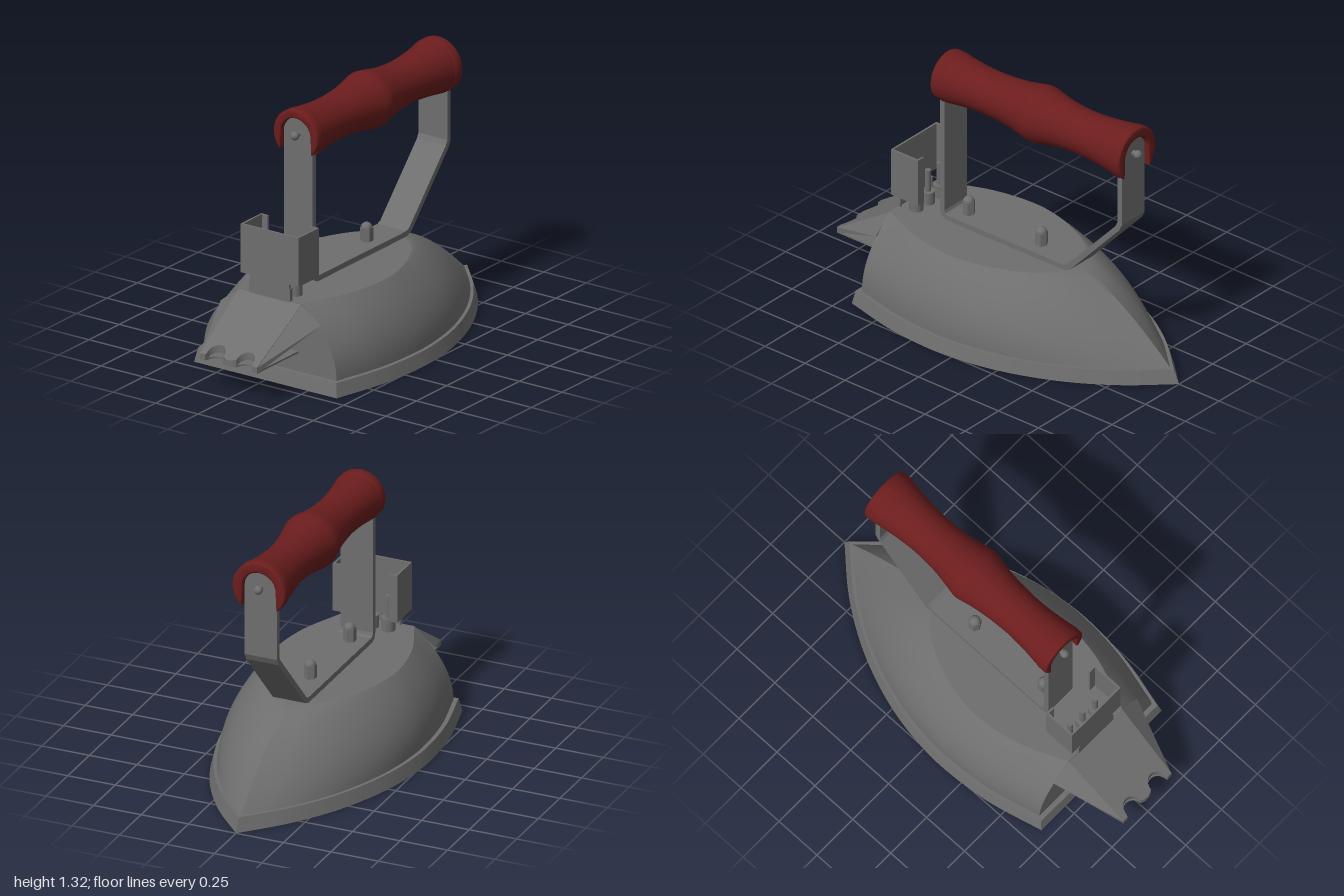
import * as THREE from 'three';
import { toCreasedNormals } from 'three/addons/utils/BufferGeometryUtils.js';
import { ConvexGeometry } from 'three/addons/geometries/ConvexGeometry.js';

const iron = new THREE.MeshStandardMaterial({ color: 0x6e6e6e, side: THREE.DoubleSide });
iron.name = 'grey iron';
const red = new THREE.MeshStandardMaterial({ color: 0x6c1d1d, side: THREE.DoubleSide });
red.name = 'dark red';

const lerp = THREE.MathUtils.lerp;
const vec2 = (pts) => pts.map(([a, b]) => new THREE.Vector2(a, b));

// Half outline [x, z] from tip to back, resampled smoothly
function halfOutline(pts) {
  return new THREE.CatmullRomCurve3(pts.map(([x, z]) => new THREE.Vector3(x, 0, z))).getPoints(48);
}
// Full ring: back right, round the tip, back left
function mirrorRing(half) {
  const left = half.slice(1).map((p) => new THREE.Vector3(-p.x, p.y, p.z));
  return [...half.slice().reverse(), ...left];
}
// Skin between stacked rings
function loft(rings) {
  const n = rings[0].length, index = [];
  for (let i = 0; i < rings.length - 1; i++) {
    for (let j = 0; j < n - 1; j++) {
      const a = i * n + j, d = a + n;
      index.push(a, a + 1, d + 1, a, d + 1, d);
    }
  }
  const g = new THREE.BufferGeometry().setFromPoints(rings.flat());
  g.setIndex(index);
  return toCreasedNormals(g, 0.6);
}
// Horizontal cap over a ring
function cap(ring, y, up = true) {
  const s = new THREE.Shape(ring.map((p) => new THREE.Vector2(p.x, up ? -p.z : p.z)));
  return new THREE.ShapeGeometry(s).rotateX(up ? -Math.PI / 2 : Math.PI / 2).translate(0, y, 0);
}
// Strip of constant thickness along a [z, y] path, extruded across x
function strip(path, thick, width) {
  const p = vec2(path), a = [], b = [];
  p.forEach((q, i) => {
    const d0 = q.clone().sub(p[Math.max(i - 1, 0)]).normalize();
    const d1 = p[Math.min(i + 1, p.length - 1)].clone().sub(q).normalize();
    const t = d0.clone().add(d1).normalize();
    const k = thick / 2 / Math.max(t.dot(i ? d0 : d1), 0.5);
    a.push(new THREE.Vector2(q.x - t.y * k, q.y + t.x * k));
    b.push(new THREE.Vector2(q.x + t.y * k, q.y - t.x * k));
  });
  const g = new THREE.ExtrudeGeometry(new THREE.Shape([...a, ...b.reverse()]), { depth: width, bevelEnabled: false });
  return g.rotateY(-Math.PI / 2).translate(width / 2, 0, 0);
}

export function createModel() {
  const model = new THREE.Group();
  const add = (name, geo, mat, x = 0, y = 0, z = 0) => {
    const m = new THREE.Mesh(geo, mat);
    m.name = name;
    m.position.set(x, y, z);
    model.add(m);
  };

  // Sole plate with slanted rim
  const sole = halfOutline([[0, -1], [0.182, -0.8], [0.316, -0.6], [0.41, -0.4], [0.473, -0.2],
    [0.506, 0], [0.512, 0.15], [0.49, 0.4], [0.42, 0.695]]);
  const remap = (kx, tip, back, y) => sole.map((p) =>
    new THREE.Vector3(p.x * kx, y, lerp(tip, back, (p.z + 1) / 1.695)));
  const low = mirrorRing(sole), high = mirrorRing(remap(0.968, -0.968, 0.68, 0.07));
  add('soleRim', loft([[...low, low[0]], [...high, high[0]]]), iron);
  add('soleBottom', cap(low, 0, false), iron);
  add('soleTop', cap(high, 0.07), iron);

  // Domed body: rounded flanks, gently sloping nose, rounded flat crown
  const foot = remap(0.93, -0.945, 0.655, 0.07);
  const crown = halfOutline([[0, -0.355], [0.09, -0.335], [0.16, -0.28], [0.217, -0.2], [0.263, -0.1],
    [0.297, 0], [0.32, 0.16], [0.288, 0.4], [0.185, 0.655]]);
  const halves = [];
  for (let i = 0; i <= 20; i++) {
    const h = 1 - (1 - i / 20) ** 1.6;
    const fx = h ** 2.1, fz = 1 - (1 - h) ** (1 / 1.55);
    halves.push(foot.map((p, j) => new THREE.Vector3(
      lerp(p.x, crown[j].x, fx), 0.07 + 0.35 * h, lerp(p.z, crown[j].z, fz))));
  }
  const rings = halves.map(mirrorRing);
  add('bodySides', loft(rings), iron);
  add('bodyTop', cap(rings[20], 0.42), iron);
  const edge = halves.map((r) => r[r.length - 1]);
  const wall = [...edge.map((p) => new THREE.Vector2(p.x, p.y)),
    ...edge.slice().reverse().map((p) => new THREE.Vector2(-p.x, p.y))];
  add('bodyFrontWall', new THREE.ShapeGeometry(new THREE.Shape(wall)), iron, 0, 0, 0.655);

  // Sloping spout and its thin floor, both with a scalloped lip
  function scalloped(rootWidth, top, bottom) {
    const s = new THREE.Shape();
    s.moveTo(-rootWidth, 0.65);
    s.lineTo(rootWidth, 0.65);
    s.lineTo(0.168, 0.998);
    s.lineTo(0.138, 0.998);
    s.absarc(0.086, 0.985, 0.048, 0, -Math.PI, true);
    s.quadraticCurveTo(0, 1.01, -0.038, 0.985);
    s.absarc(-0.086, 0.985, 0.048, 0, -Math.PI, true);
    s.lineTo(-0.138, 0.998);
    s.lineTo(-0.168, 0.998);
    const g = new THREE.ExtrudeGeometry(s, { depth: 1, bevelEnabled: false, curveSegments: 10 });
    g.rotateX(Math.PI / 2);
    const p = g.attributes.position;
    for (let i = 0; i < p.count; i++) {
      const t = (p.getZ(i) - 0.65) / 0.35, range = p.getY(i) > -0.5 ? top : bottom;
      p.setY(i, lerp(range[0], range[1], t));
    }
    g.computeVertexNormals();
    return toCreasedNormals(g, 0.6);
  }
  add('spout', scalloped(0.185, [0.42, 0.195], [0.335, 0.166]), iron);
  add('spoutFloor', scalloped(0.168, [0.174, 0.174], [0.165, 0.165]), iron);
  // Slanted facets flanking the spout
  for (const sx of [-1, 1]) {
    const corners = [[0.183, 0.42, 0.65], [0.183, 0.335, 0.65], [0.295, 0.33, 0.65],
      [0.168, 0.195, 0.995], [0.168, 0.166, 0.995]];
    add('spoutFlank', new ConvexGeometry(corners.map(([x, y, z]) => new THREE.Vector3(sx * x, y, z))), iron);
  }

  // Handle strap with rounded, riveted ends
  const Y = 1.178;
  add('handleStrap', strip([[0.41, Y], [0.41, 0.475], [0.402, 0.452], [0.38, 0.442], [-0.35, 0.442],
    [-0.38, 0.455], [-0.685, 0.785], [-0.7, 0.815], [-0.7, Y]], 0.028, 0.17), iron);
  for (const [z, dir] of [[0.41, 1], [-0.7, -1]]) {
    add('strapEnd', new THREE.CylinderGeometry(0.085, 0.085, 0.028, 32).rotateX(Math.PI / 2), iron, 0, Y, z);
    add('rivetShank', new THREE.CylinderGeometry(0.014, 0.014, 0.04, 12).rotateX(Math.PI / 2), iron, 0, Y, z + dir * 0.025);
    add('rivetHead', new THREE.SphereGeometry(0.022, 16, 10), iron, 0, Y, z + dir * 0.042);
  }

  // Turned grip: two waists meeting at a central ridge
  const profile = [[0, -0.7]];
  const waists = [[[0.14, -0.7], [0.121, -0.57], [0.111, -0.43], [0.119, -0.29], [0.143, -0.16], [0.145, -0.14]],
    [[0.145, -0.14], [0.143, -0.12], [0.122, -0.01], [0.11, 0.14], [0.114, 0.27], [0.13, 0.408]]];
  for (const w of waists) {
    new THREE.SplineCurve(vec2(w)).getPoints(20).forEach((p) => profile.push([p.x, p.y]));
  }
  profile.push([0, 0.408]);
  const grip = new THREE.LatheGeometry(vec2(profile), 48).rotateX(Math.PI / 2);
  add('grip', toCreasedNormals(grip, 0.5), red, 0, Y, 0);

  // Grip ends, slotted from below to take the strap
  function gripEnd(r) {
    const w = 0.096, b = 0.01, q = r - b, a = Math.asin(w / q);
    const s = new THREE.Shape();
    s.absarc(0, 0, q, -Math.PI / 2 + a, Math.PI * 1.5 - a, false);
    s.lineTo(-w, 0);
    s.absarc(0, 0, w, Math.PI, 0, true);
    const g = new THREE.ExtrudeGeometry(s, { depth: 0.042, bevelSize: b, bevelThickness: b, bevelSegments: 3, curveSegments: 32 });
    return toCreasedNormals(g, 0.6);
  }
  add('gripFrontEnd', gripEnd(0.13), red, 0, Y, 0.398);
  add('gripBackEnd', gripEnd(0.14), red, 0, Y, -0.73);

  // Hexagonal dome nuts on the strap
  for (const z of [0.315, -0.14]) {
    add('nut', toCreasedNormals(new THREE.CylinderGeometry(0.032, 0.032, 0.07, 6), 0.4), iron, 0, 0.488, z);
    add('nutDome', new THREE.SphereGeometry(0.028, 16, 8, 0, Math.PI * 2, 0, Math.PI / 2), iron, 0, 0.522, z);
  }

  // Terminal guard: folded plate open to the rear, standing on a tab
  const box = (name, w, h, d, x, y, z) => add(name, new THREE.BoxGeometry(w, h, d), iron, x, y, z);
  box('guardFront', 0.34, 0.25, 0.01, 0, 0.63, 0.655);
  box('guardTab', 0.23, 0.1, 0.01, 0, 0.46, 0.655);
  for (const sx of [-1, 1]) {
    box('guardSide', 0.01, 0.25, 0.165, sx * 0.165, 0.63, 0.575);
    box('guardFlange', 0.045, 0.25, 0.01, sx * 0.148, 0.63, 0.495);
    box('tabFlange', 0.01, 0.07, 0.02, sx * 0.115, 0.447, 0.65);
  }

  // Terminal pins
  for (const x of [-0.087, 0, 0.087]) {
    add('pinBase', new THREE.CylinderGeometry(0.034, 0.034, 0.07, 20), iron, x, 0.45, 0.57);
    add('pin', new THREE.CylinderGeometry(0.015, 0.015, 0.12, 14), iron, x, 0.54, 0.57);
  }
  return model;
}
